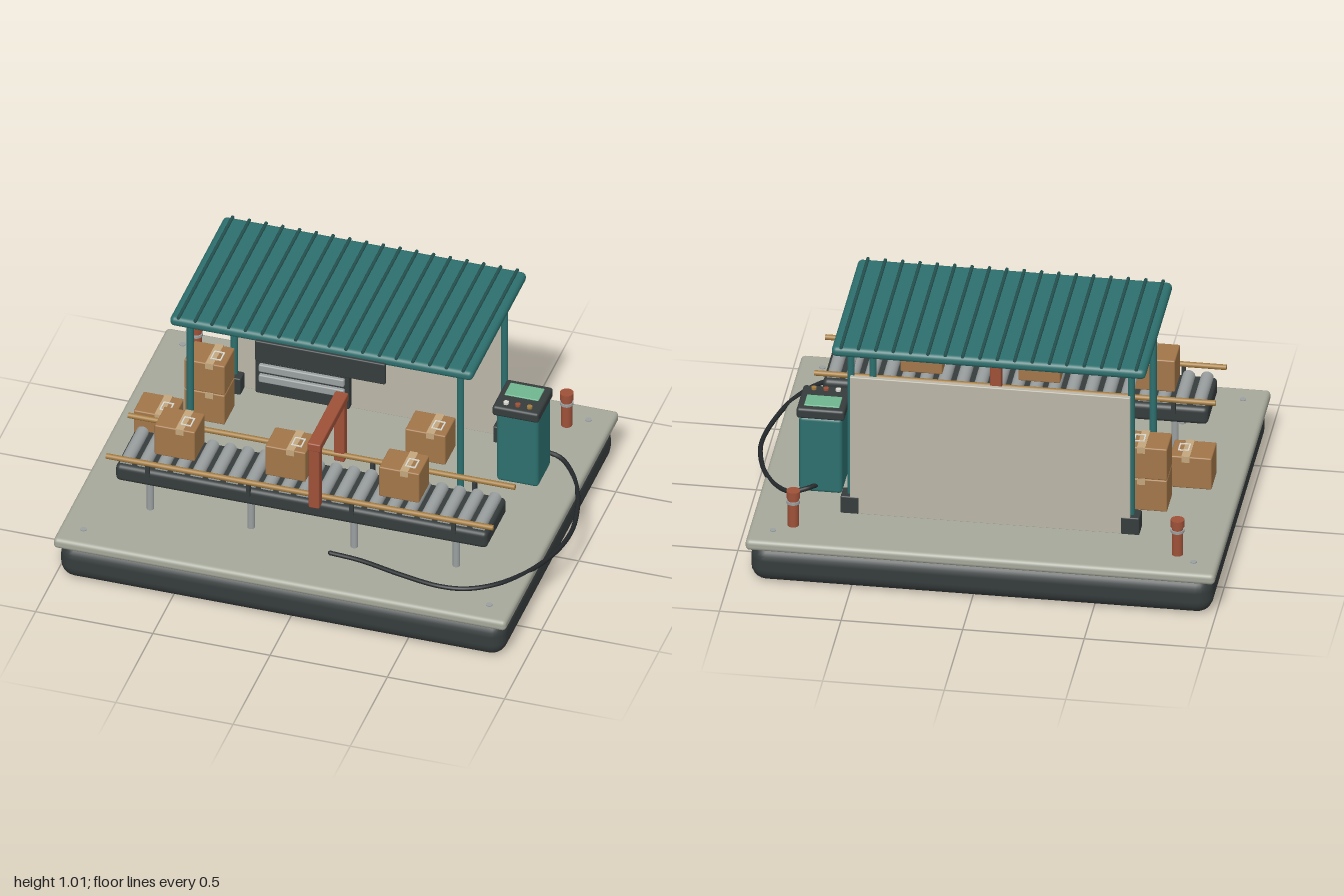
import * as THREE from 'three';
import { RoundedBoxGeometry } from 'three/addons/geometries/RoundedBoxGeometry.js';

const COLORS = {
  deck: 0xa5a89a, dark: 0x363c3c, teal: 0x2c6f6d, darkTeal: 0x24504f, card: 0xa27649,
  tape: 0xc4a67c, white: 0xd9d8cf, rail: 0xa37b3e, rust: 0x9e5138, steel: 0x9a9fa0,
  wall: 0xbab6a8, green: 0x6fb68f, cable: 0x24282a,
};
const mats = {};
for (const k in COLORS) mats[k] = new THREE.MeshStandardMaterial({ color: COLORS[k] });

export function createModel() {
  const model = new THREE.Group();
  model.name = 'loadingStation';

  const add = (name, geo, mat, x = 0, y = 0, z = 0, parent = model) => {
    const m = new THREE.Mesh(geo, mats[mat]);
    m.name = name;
    m.position.set(x, y, z);
    parent.add(m);
    return m;
  };
  // Box given by its min and max on each axis, with optional rounding
  const box = (name, mat, x0, x1, y0, y1, z0, z1, r = 0, parent = model) => {
    const w = x1 - x0, h = y1 - y0, d = z1 - z0;
    const geo = r ? new RoundedBoxGeometry(w, h, d, 3, r) : new THREE.BoxGeometry(w, h, d);
    return add(name, geo, mat, (x0 + x1) / 2, (y0 + y1) / 2, (z0 + z1) / 2, parent);
  };
  // Cylinder between two points
  const rod = (name, mat, a, b, r, parent = model) => {
    const p = new THREE.Vector3(...a), q = new THREE.Vector3(...b), d = q.clone().sub(p);
    const m = add(name, new THREE.CylinderGeometry(r, r, d.length(), 20), mat, 0, 0, 0, parent);
    m.position.copy(p).add(q).multiplyScalar(0.5);
    m.quaternion.setFromUnitVectors(new THREE.Vector3(0, 1, 0), d.normalize());
    return m;
  };

  // Base: rounded hull, deck slab, corner studs and underside strips
  box('hull', 'dark', -0.985, 0.915, 0, 0.17, -0.757, 0.757, 0.065);
  box('deck', 'deck', -1, 0.93, 0.157, 0.205, -0.77, 0.77, 0.018);
  for (const x of [-0.9, 0.83]) for (const z of [-0.67, 0.67])
    rod('deckStud', 'steel', [x, 0.2, z], [x, 0.209, z], 0.013);
  for (const x of [-0.64, -0.24, 0.17, 0.57])
    box('undersideStrip', 'steel', x - 0.004, x + 0.004, -0.001, 0.004, -0.66, 0.66);

  // Shelter posts, feet and roof braces
  for (const x of [-0.61, 0.543]) {
    for (const z of [-0.447, 0.147]) {
      rod('post', 'teal', [x, 0.2, z], [x, 0.97, z], 0.0145);
      box('postFoot', 'dark', x - 0.038, x + 0.038, 0.2, 0.282, z - 0.038, z + 0.038, 0.006);
    }
    rod('roofBrace', 'steel', [x, 0.962, 0.07], [x, 0.845, -0.447], 0.01);
  }

  // Roof with ribs
  box('roof', 'teal', -0.68, 0.612, 0.957, 1.002, -0.532, 0.212, 0.02);
  const ribs = 18;
  for (let i = 0; i < ribs; i++) {
    const x = -0.642 + i * 1.214 / (ribs - 1);
    rod('roofRib', 'darkTeal', [x, 1.003, -0.528], [x, 1.003, 0.208], 0.007);
  }
  box('signBoard', 'dark', -0.31, 0.245, 0.873, 0.975, 0.205, 0.225, 0.006);

  // Back wall and roller shutter
  box('backWall', 'wall', -0.61, 0.543, 0.203, 0.842, -0.483, -0.462, 0.004);
  box('shutterFrame', 'dark', -0.515, -0.115, 0.215, 0.752, -0.465, -0.43, 0.006);
  for (let i = 0; i < 9; i++) {
    const y = 0.3 + i * 0.0512;
    box('shutterSlat', 'steel', -0.497, -0.133, y - 0.018, y + 0.018, -0.435, -0.414, 0.006);
  }

  // Conveyor: bed, rollers, legs and side rails
  const conveyor = new THREE.Group();
  conveyor.name = 'conveyor';
  model.add(conveyor);
  box('conveyorBed', 'dark', -0.825, 0.76, 0.337, 0.415, 0.21, 0.483, 0.02, conveyor);
  for (let i = 0; i < 21; i++) {
    const x = -0.785 + i * 0.0752;
    rod('roller', 'steel', [x, 0.421, 0.235], [x, 0.421, 0.46], 0.026, conveyor);
  }
  for (const x of [-0.685, -0.255, 0.185, 0.62]) {
    for (const z of [0.245, 0.448])
      rod('conveyorLeg', 'steel', [x, 0.2, z], [x, 0.345, z], 0.015, conveyor);
    for (const [z0, z1] of [[0.189, 0.215], [0.478, 0.495]])
      box('railBracket', 'dark', x - 0.008, x + 0.008, 0.39, 0.455, z0, z1, 0, conveyor);
  }
  for (const z of [0.192, 0.487])
    rod('sideRail', 'rail', [-0.86, 0.457, z], [0.79, 0.457, z], 0.0115, conveyor);

  // Scanner arch over the conveyor
  const arch = new THREE.Group();
  arch.name = 'scannerArch';
  model.add(arch);
  for (const z of [0.177, 0.517])
    box('archPost', 'rust', 0.017, 0.063, 0.425, 0.72, z - 0.021, z + 0.021, 0.006, arch);
  box('archBeam', 'rust', 0.012, 0.068, 0.71, 0.748, 0.155, 0.539, 0.006, arch);
  box('scanner', 'green', 0.02, 0.06, 0.694, 0.712, 0.295, 0.402, 0.004, arch);

  // Cardboard parcels with tape and a label outline on top
  const parcel = (x, y, z) => {
    const g = new THREE.Group();
    g.name = 'parcel';
    g.position.set(x, y, z);
    model.add(g);
    box('carton', 'card', -0.086, 0.086, 0, 0.146, -0.07, 0.07, 0.006, g);
    box('tape', 'tape', 0.004, 0.038, 0.12, 0.148, -0.0712, 0.0712, 0, g);
    for (const s of [-1, 1]) {
      box('labelEdge', 'white', 0.014, 0.06, 0.145, 0.15, s * 0.026 + 0.004, s * 0.026 + 0.01, 0, g);
      box('labelEdge', 'white', 0.034 + s * 0.02, 0.04 + s * 0.02, 0.145, 0.15, -0.022, 0.036, 0, g);
    }
  };
  for (const x of [-0.595, -0.123, 0.362]) parcel(x, 0.449, 0.337);
  parcel(-0.802, 0.22, -0.035);
  parcel(0.29, 0.22, -0.245);
  parcel(-0.65, 0.22, -0.24);
  parcel(-0.65, 0.367, -0.24);

  // Control kiosk
  const kiosk = new THREE.Group();
  kiosk.name = 'controlKiosk';
  model.add(kiosk);
  box('kioskBody', 'teal', 0.597, 0.775, 0.203, 0.55, -0.335, -0.162, 0.015, kiosk);
  box('kioskTop', 'dark', 0.587, 0.785, 0.545, 0.592, -0.338, -0.135, 0.012, kiosk);
  box('screen', 'green', 0.612, 0.757, 0.588, 0.597, -0.31, -0.225, 0.003, kiosk);
  [['white', 0.637], ['rust', 0.687], ['rail', 0.737]].forEach(([mat, x]) =>
    rod('button', mat, [x, 0.588, -0.17], [x, 0.602, -0.17], 0.011, kiosk));

  // Bollards at the back corners
  for (const x of [-0.825, 0.755]) {
    rod('bollard', 'rust', [x, 0.2, -0.613], [x, 0.345, -0.613], 0.023);
    rod('bollardCap', 'rust', [x, 0.335, -0.613], [x, 0.367, -0.613], 0.028);
    rod('bollardBand', 'steel', [x, 0.31, -0.613], [x, 0.322, -0.613], 0.028);
  }

  // Power cable looping from the kiosk round the deck edge
  const path = [
    [0.7, 0.235, -0.325], [0.74, 0.235, -0.365], [0.8, 0.22, -0.372], [0.87, 0.207, -0.31],
    [0.935, 0.196, -0.19], [0.975, 0.19, -0.05], [0.988, 0.186, 0.06], [0.972, 0.188, 0.21],
    [0.91, 0.203, 0.4], [0.815, 0.212, 0.535], [0.71, 0.214, 0.603], [0.6, 0.215, 0.62],
    [0.43, 0.215, 0.592], [0.24, 0.215, 0.547], [0.11, 0.215, 0.535],
  ].map((p) => new THREE.Vector3(...p));
  add('powerCable', new THREE.TubeGeometry(new THREE.CatmullRomCurve3(path), 90, 0.01, 10), 'cable');
  for (const p of [path[0], path[path.length - 1]])
    add('cableEnd', new THREE.SphereGeometry(0.01, 10, 8), 'cable', p.x, p.y, p.z);

  return model;
}
